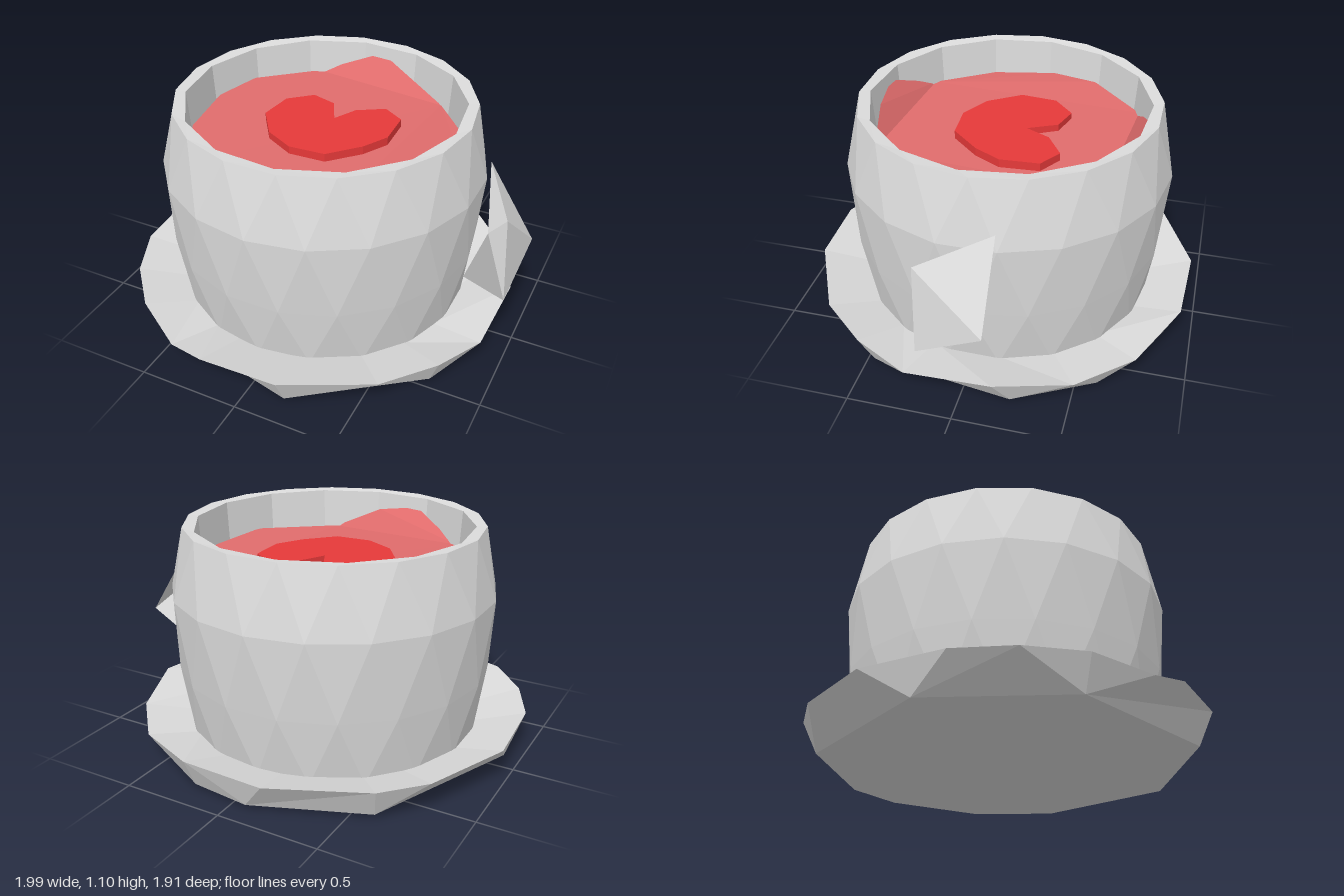
import * as THREE from 'three';

const china = new THREE.MeshStandardMaterial({ color: 0xdcdcdc, flatShading: true });
china.name = 'pale grey china';
const pink = new THREE.MeshStandardMaterial({ color: 0xe06c6c, flatShading: true, side: THREE.DoubleSide });
pink.name = 'pink drink';
const red = new THREE.MeshStandardMaterial({ color: 0xe63939, flatShading: true });
red.name = 'red heart';

function faceted(points, index) {
  const indexed = new THREE.BufferGeometry();
  indexed.setAttribute('position', new THREE.Float32BufferAttribute(points.flat(), 3));
  indexed.setIndex(index);
  const g = indexed.toNonIndexed();
  g.computeVertexNormals();
  return g;
}

// Corner angles, in degrees, of a regular polygon turned by a fraction of a side
const even = (n, turn = 0) => Array.from({ length: n }, (_, k) => ((k + turn) / n) * 360);

// Joins consecutive polygon rings with triangles; corner counts may differ.
// Each ring: corner angles, radius, y, and the angles of corners that sag.
function ringStack(rings) {
  const points = [], index = [], starts = [];
  for (const { angles, r, y, low = [] } of rings) {
    starts.push(points.length);
    for (const deg of angles) {
      const a = THREE.MathUtils.degToRad(deg);
      points.push([Math.sin(a) * r, low.includes(deg) ? y - 0.035 : y, Math.cos(a) * r]);
    }
  }
  const next = (list, i) => (i + 1 < list.length ? list[i + 1] : list[0] + 360);
  for (let s = 0; s + 1 < rings.length; s++) {
    const A = rings[s], B = rings[s + 1], n = A.angles.length, m = B.angles.length;
    const a = i => starts[s] + (i % n), b = j => starts[s + 1] + (j % m);
    let i = 0, j = 0;
    while (i < n || j < m) {
      if (j >= m || (i < n && next(A.angles, i) <= next(B.angles, j))) {
        if (A.r > 0) index.push(a(i), a(i + 1), b(j));
        i++;
      } else {
        if (B.r > 0) index.push(a(i), b(j + 1), b(j));
        j++;
      }
    }
  }
  return faceted(points, index);
}

export function createModel() {
  const model = new THREE.Group();
  const add = (name, geometry, material, x = 0, y = 0, z = 0) => {
    const mesh = new THREE.Mesh(geometry, material);
    mesh.name = name;
    mesh.position.set(x, y, z);
    model.add(mesh);
  };

  // Saucer: irregular nine-sided base, uneven rim, shallow dish
  const base = [14, 59, 105, 132, 164, 183, 220, 275, 320];
  const rim = [13, 40, 58, 75, 100, 122, 142, 165, 190, 219, 234, 261, 286, 303, 320, 338, 350];
  add('saucer', ringStack([
    { angles: base, r: 0, y: 0.02 },
    { angles: base, r: 0.9, y: 0.02 },
    { angles: rim, r: 0.972, y: 0.173, low: [75, 122, 142, 338] },
    { angles: rim, r: 0.7, y: 0.1 },
    { angles: rim, r: 0, y: 0.1 },
  ]), china, -0.03);

  // Small square foot under the saucer
  add('foot', new THREE.PlaneGeometry(0.63, 0.63).rotateX(Math.PI / 2), china, -0.04);

  // Cup: bulging wall, flat lip and inner wall
  add('cup', ringStack([
    { angles: even(18), r: 0.72, y: 0.07 },
    { angles: even(18, 0.5), r: 0.77, y: 0.4 },
    { angles: even(18), r: 0.795, y: 0.78 },
    { angles: even(18, 0.5), r: 0.725, y: 1.1 },
    { angles: even(14, 0.3), r: 0.675, y: 1.095 },
    { angles: even(14, 0.3), r: 0.66, y: 0.84 },
  ]), china, -0.035, 0, -0.015);

  // Handle: bent wedge with a hollow inner side
  add('handle', faceted([
    [0.76, 0.88, -0.15], [0.94, 0.79, 0.16], [1, 0.51, -0.15],
    [0.97, 0.35, 0.16], [0.71, 0.25, -0.05], [0.86, 0.7, 0.16],
  ], [0, 1, 2, 0, 5, 1, 5, 3, 1, 1, 3, 2, 2, 3, 4, 3, 5, 4, 0, 2, 5, 2, 4, 5]), china);

  // Drink: two gently folded halves with a raised flap at the back and front
  const drink = [
    [-0.69, 0.925, -0.11], [-0.62, 0.935, -0.33], [-0.36, 0.92, -0.6], [-0.03, 1.05, -0.69],
    [0.37, 0.905, -0.53], [0.54, 0.91, -0.32], [0.61, 0.91, -0.11], [0.57, 0.92, 0.24],
    [0.27, 0.9, 0.57], [0.03, 1.01, 0.62], [-0.18, 1.04, 0.64], [-0.46, 0.91, 0.5], [-0.65, 0.91, 0.22],
  ];
  const faces = [];
  for (const loop of [[11, 12, 0, 1, 2, 4], [4, 5, 6, 7, 8, 11], [2, 3, 4], [11, 8, 9, 10]])
    for (let k = 1; k + 1 < loop.length; k++) faces.push(loop[0], loop[k + 1], loop[k]);
  add('drink', faceted(drink, faces), pink);

  // Heart floating on the drink
  const outline = [
    [-0.03, -0.1], [-0.1, -0.24], [-0.23, -0.28], [-0.34, -0.18], [-0.36, 0], [-0.25, 0.16],
    [-0.1, 0.24], [0.08, 0.23], [0.21, 0.09], [0.28, -0.04], [0.27, -0.23], [0.16, -0.3], [0.03, -0.22],
  ];
  const heart = new THREE.Shape(outline.map(([x, z]) => new THREE.Vector2(x, -z)));
  add('heart', new THREE.ExtrudeGeometry(heart, { depth: 0.08, bevelEnabled: false }).rotateX(-Math.PI / 2),
    red, 0, 0.865, 0);

  return model;
}
